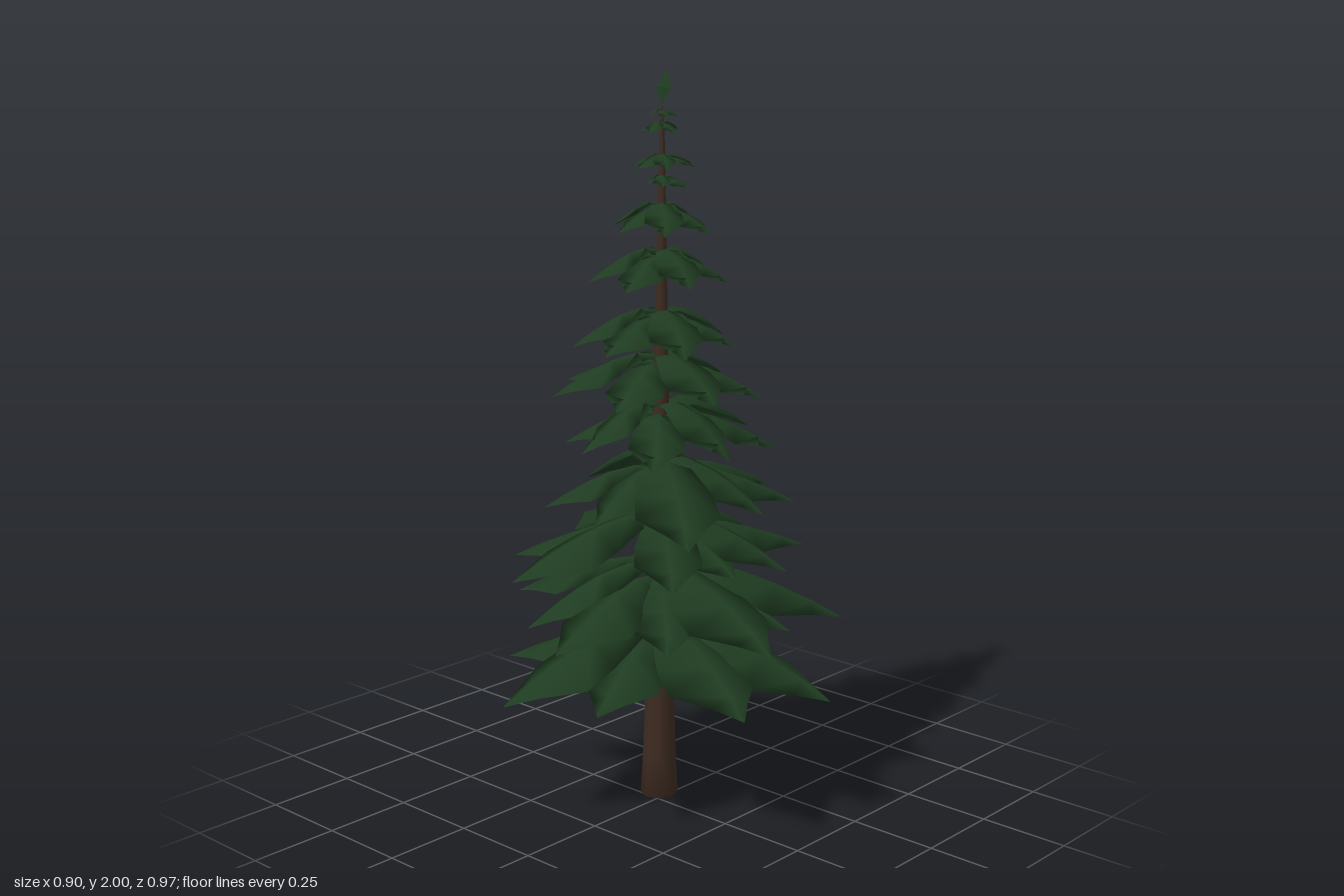
import * as THREE from 'three';

const bark = new THREE.MeshStandardMaterial({ color: 0x3d2b21 });
bark.name = 'bark brown';
const needles = new THREE.MeshStandardMaterial({ color: 0x1f3c21 });
needles.name = 'needle green';

let seed = 11;
const rand = () => (seed = (seed * 16807) % 2147483647) / 2147483647;

// trunk axis leans slightly as it rises
const axisX = (y) => 0.04 + 0.006 * y;
const AXIS_Z = -0.03;

// Broad drooping bough: [distance along, half width, fall of ridge, edge droop, thickness]
const SECTIONS = [
  [0, 0.06, 0.1, 0.01, 0.03],
  [0.22, 0.15, 0.0, 0.05, 0.06],
  [0.45, 0.23, 0.16, 0.095, 0.07],
  [0.63, 0.25, 0.38, 0.11, 0.06],
  [0.84, 0.1, 0.7, 0.05, 0.03],
  [1, 0, 1, 0, 0],
];

// Closed folded blade: each section is a ring of left edge, ridge, right edge, underside
function boughGeometry(root, tip, widthScale) {
  const dx = tip.x - root.x, dz = tip.z - root.z;
  const len = Math.hypot(dx, dz), fall = root.y - tip.y;
  const pos = [], index = [];
  SECTIONS.forEach(([u, w, drop, droop, thick], i) => {
    for (const [side, sink] of [[-1, droop], [0, 0], [1, droop], [0, thick]]) {
      const off = side * w * widthScale;
      pos.push(root.x + dx * u - dz * off, root.y - fall * drop - sink * len, root.z + dz * u + dx * off);
    }
    if (i === 0) return;
    for (let k = 0; k < 4; k++) {
      const a = (i - 1) * 4, b = i * 4, n = (k + 1) % 4;
      index.push(a + k, a + n, b + k, a + n, b + n, b + k);
    }
  });
  const g = new THREE.BufferGeometry();
  g.setAttribute('position', new THREE.Float32BufferAttribute(pos, 3));
  g.setIndex(index);
  g.computeVertexNormals();
  return g;
}

// Lower tiers, bough by bough: root height, tip height, tips [x, z]
const LOW_TIERS = [
  [0.52, 0.36, [[-0.45, -0.14], [0.43, -0.41], [0.15, 0.485], [0.185, -0.485],
    [-0.15, 0.44], [-0.18, -0.4], [0.28, 0.22], [-0.36, 0.12], [0.44, -0.05]]],
  [0.68, 0.525, [[0.34, 0.37], [-0.41, 0.02], [-0.07, 0.46], [0.45, 0],
    [0.2, -0.36], [0.13, 0.36], [-0.12, -0.42], [-0.23, 0.25], [-0.3, -0.2]]],
  [0.82, 0.685, [[-0.4, -0.15], [0.2, -0.475], [0.42, -0.05], [0.38, 0.2],
    [0.15, 0.33], [-0.22, -0.33], [-0.2, 0.24], [-0.02, 0.3]]],
  [0.98, 0.83, [[-0.23, 0.32], [0.43, 0.03], [0.1, -0.36], [0.28, 0.25],
    [0.32, -0.27], [-0.2, -0.23], [0.1, 0.29], [-0.25, 0.01]]],
];

// Upper tiers: root height, tip height, min x, max x, max z, min z, count, start angle
const HIGH_TIERS = [
  [1.13, 0.985, -0.21, 0.41, 0.24, -0.3, 8, 0.1],
  [1.26, 1.145, -0.24, 0.32, 0.25, -0.31, 7, 0.0],
  [1.38, 1.275, -0.22, 0.25, 0.2, -0.22, 7, 0.2],
  [1.54, 1.44, -0.17, 0.21, 0.17, -0.2, 7, 0.05],
  [1.66, 1.58, -0.09, 0.16, 0.13, -0.16, 6, 0.2],
  [1.73, 1.7, 0.0, 0.1, 0.06, -0.08, 5, 0.2],
  [1.785, 1.745, -0.04, 0.16, 0.05, -0.11, 6, 0.0],
  [1.87, 1.84, -0.02, 0.1, 0.03, -0.08, 5, 0.3],
  [1.9, 1.88, 0.01, 0.075, 0.02, -0.06, 4, 0.7],
];

function addTier(parent, name, rootY, tipY, tips, widthScale) {
  const tier = new THREE.Group();
  tier.name = name;
  tips.forEach(([x, z], i) => {
    // alternate boughs sit a little lower on the trunk
    const lower = (i % 2) * 0.2 * (rootY - tipY);
    const root = new THREE.Vector3(axisX(rootY), rootY - lower, AXIS_Z);
    const tip = new THREE.Vector3(x, tipY + rand() * 0.18 * (rootY - tipY), z);
    const bough = new THREE.Mesh(boughGeometry(root, tip, widthScale), needles);
    bough.name = 'bough';
    tier.add(bough);
  });
  parent.add(tier);
}

export function createModel() {
  const tree = new THREE.Group();
  tree.name = 'conifer';

  // trunk: flared foot, long taper, following the lean
  const profile = [[0, 0], [0.052, 0], [0.046, 0.12], [0.036, 0.4], [0.029, 0.75],
    [0.021, 1.15], [0.013, 1.55], [0.006, 1.85], [0, 1.92]];
  const trunkGeometry = new THREE.LatheGeometry(profile.map(([r, y]) => new THREE.Vector2(r, y)), 8);
  const p = trunkGeometry.attributes.position;
  for (let i = 0; i < p.count; i++) p.setX(i, p.getX(i) + axisX(p.getY(i)));
  trunkGeometry.translate(0, 0, AXIS_Z);
  const trunk = new THREE.Mesh(trunkGeometry, bark);
  trunk.name = 'trunk';
  tree.add(trunk);

  // boughs
  LOW_TIERS.forEach(([rootY, tipY, tips], i) => addTier(tree, `lowTier${i + 1}`, rootY, tipY, tips, 1));
  HIGH_TIERS.forEach(([rootY, tipY, x0, x1, z1, z0, count, start], i) => {
    const tips = [];
    for (let k = 0; k < count; k++) {
      const a = start + ((k + (rand() - 0.5) * 0.35) / count) * Math.PI * 2;
      const s = 0.96 + 0.08 * rand();
      tips.push([(x0 + x1) / 2 + Math.cos(a) * s * (x1 - x0) / 2,
        (z0 + z1) / 2 + Math.sin(a) * s * (z1 - z0) / 2]);
    }
    addTier(tree, `highTier${i + 1}`, rootY, tipY, tips, i > 3 ? 1.35 : 1.15);
  });

  // leading shoot: small upright blade leaning to the side
  const shoot = new THREE.Mesh(new THREE.OctahedronGeometry(1), needles);
  shoot.name = 'leadingShoot';
  shoot.scale.set(0.007, 0.047, 0.026);
  shoot.rotation.z = -0.25;
  shoot.position.set(0.057, 1.954, AXIS_Z);
  tree.add(shoot);

  return tree;
}
